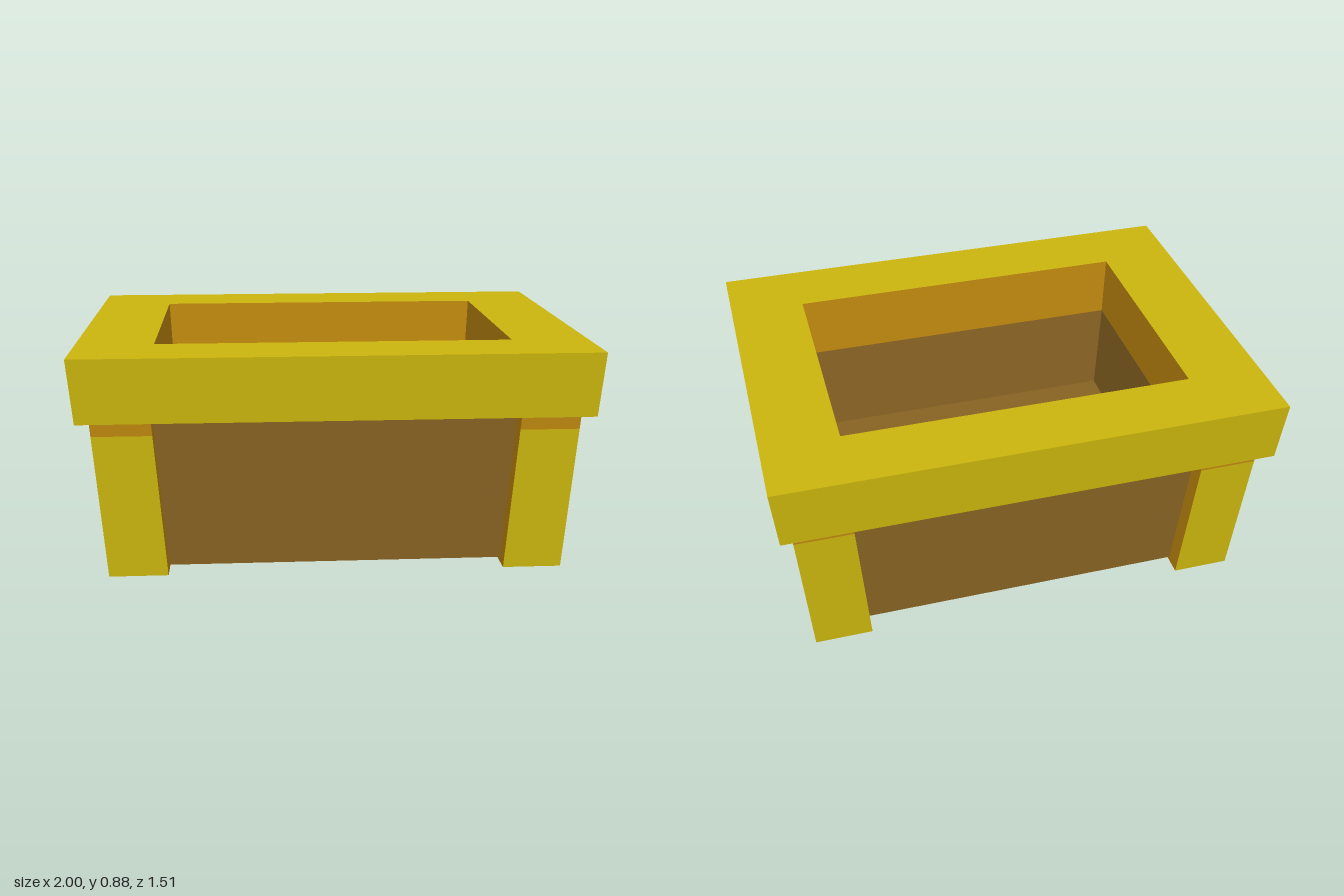
import * as THREE from 'three';

const mat = (name, color) => Object.assign(new THREE.MeshStandardMaterial({ color }), { name });

// Rectangular loft: each ring is [half width x, half depth z, y].
// The profile runs up the outside and down the inside so faces point outward.
function rectLoft(rings, materialFor) {
  const signs = [[1, 1], [1, -1], [-1, -1], [-1, 1]];
  const corner = ([hx, hz, y], i) => {
    const [sx, sz] = signs[i % 4];
    return [sx * hx, y, sz * hz];
  };
  const positions = [];
  const geometry = new THREE.BufferGeometry();
  for (let r = 0; r < rings.length - 1; r++) {
    for (let i = 0; i < 4; i++) {
      const a = corner(rings[r], i), b = corner(rings[r], i + 1);
      const c = corner(rings[r + 1], i + 1), d = corner(rings[r + 1], i);
      geometry.addGroup(positions.length / 3, 6, materialFor(r, i));
      positions.push(...a, ...b, ...c, ...a, ...c, ...d);
    }
  }
  geometry.setAttribute('position', new THREE.Float32BufferAttribute(positions, 3));
  geometry.computeVertexNormals();
  return geometry;
}

// Leg segment between two heights, leaning outward as it rises
function legGeometry(sx, sz, y0, y1) {
  const geometry = new THREE.BoxGeometry(0.23, y1 - y0, 0.232);
  geometry.translate(sx * 0.775, (y0 + y1) / 2, sz * 0.536);
  const p = geometry.attributes.position;
  for (let i = 0; i < p.count; i++) {
    const y = p.getY(i);
    p.setX(i, p.getX(i) + sx * 0.07 * y);
    p.setZ(i, p.getZ(i) + sz * 0.052 * y);
  }
  geometry.computeVertexNormals();
  return geometry;
}

export function createModel() {
  const yellow = mat('yellow wood', 0xcbb60d);
  const orange = mat('orange wood', 0xbe870e);
  const brown = mat('brown wood', 0x886322);
  const model = new THREE.Group();
  model.name = 'planter';

  const add = (name, geometry, material) => {
    const mesh = new THREE.Mesh(geometry, material);
    mesh.name = name;
    model.add(mesh);
  };

  // Tapered tub: underside, outer walls, inner walls, inner floor
  add('tub', rectLoft([
    [0, 0, 0.015], [0.82, 0.58, 0.015], [0.865, 0.615, 0.64],
    [0.687, 0.467, 0.64], [0.66, 0.441, 0.25], [0, 0, 0.25],
  ], () => 0), [brown]);

  // Rim: underside, outer band, top, opening
  add('rim', rectLoft([
    [0.685, 0.465, 0.635], [0.98, 0.74, 0.635], [1, 0.755, 0.885],
    [0.697, 0.481, 0.885], [0.685, 0.465, 0.635],
  ], (r, i) => (r === 3 || (r === 1 && i % 2 === 0) ? 1 : 0)), [yellow, orange]);

  // Four corner legs, each with an orange band under the rim
  const legMaterials = [orange, orange, yellow, yellow, yellow, yellow];
  for (const sx of [-1, 1]) {
    for (const sz of [-1, 1]) {
      const name = `${sz > 0 ? 'front' : 'back'}${sx > 0 ? 'Left' : 'Right'}Leg`;
      add(name, legGeometry(sx, sz, 0, 0.573), legMaterials);
      add(`${name}Band`, legGeometry(sx, sz, 0.573, 0.636), orange);
    }
  }
  return model;
}
